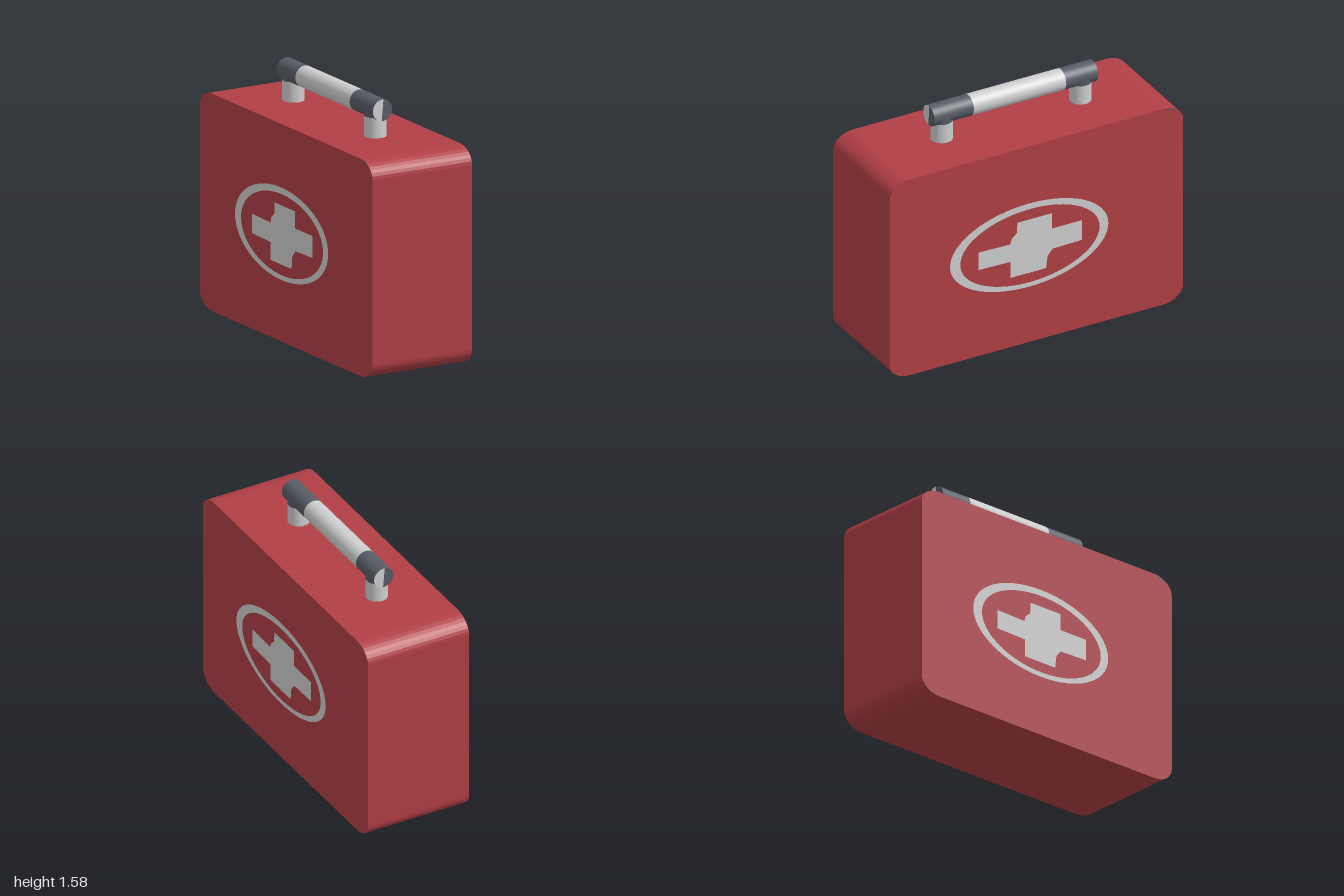
import * as THREE from 'three';

const flat = (name, color) => {
  const m = new THREE.MeshStandardMaterial({ color });
  m.name = name;
  return m;
};

export function createModel() {
  const red = flat('red', 0xb03f45);
  const light = flat('light grey', 0xcecece);
  const dark = flat('dark grey', 0x585c65);
  const model = new THREE.Group();
  model.name = 'firstAidCase';

  const add = (parent, name, geometry, material) => {
    const mesh = new THREE.Mesh(geometry, material);
    mesh.name = name;
    parent.add(mesh);
    return mesh;
  };
  const polygon = (pts) => new THREE.Shape(pts.map(([x, y]) => new THREE.Vector2(x, y)));

  // Case: a side outline with rounded corners, extruded across the width
  const half = 0.345, height = 1.34, rz = 0.14, ry = 0.1;
  const outline = new THREE.Shape();
  outline.absellipse(1 - rz, ry, rz, ry, -Math.PI / 2, 0);
  outline.absellipse(1 - rz, height - ry, rz, ry, 0, Math.PI / 2);
  outline.absellipse(rz - 1, height - ry, rz, ry, Math.PI / 2, Math.PI);
  outline.absellipse(rz - 1, ry, rz, ry, Math.PI, Math.PI * 1.5);
  const body = new THREE.ExtrudeGeometry(outline, { depth: half * 2, bevelEnabled: false, curveSegments: 4 });
  body.translate(0, 0, -half).rotateY(Math.PI / 2);
  add(model, 'caseBody', body, red);

  // Emblem: an oval ring around an uneven cross, the same on both broad sides
  const ring = new THREE.Shape();
  ring.absellipse(-0.05, 0.665, 0.54, 0.285, 0, Math.PI * 2);
  const hole = new THREE.Path();
  hole.absellipse(-0.045, 0.66, 0.475, 0.25, 0, Math.PI * 2);
  ring.holes.push(hole);
  const cross = polygon([
    [-0.396, 0.71], [-0.396, 0.59], [-0.177, 0.585], [-0.177, 0.475], [0.065, 0.475],
    [0.075, 0.555], [0.11, 0.595], [0.31, 0.6], [0.31, 0.735], [0.107, 0.735],
    [0.107, 0.84], [-0.13, 0.84], [-0.135, 0.77], [-0.17, 0.74], [-0.18, 0.705],
  ]);
  // Dark scuff at one upper corner
  const scuff = polygon([[0.86, 1.338], [0.93, 1.315], [0.975, 1.295], [0.915, 1.331]]);
  for (const [side, turn] of [['left', 0], ['right', Math.PI]]) {
    const face = new THREE.Group();
    face.name = side + 'Emblem';
    face.rotation.y = turn;
    for (const [name, shape, mat] of [['ring', ring, light], ['cross', cross, light], ['cornerScuff', scuff, dark]]) {
      const plate = new THREE.ShapeGeometry(shape, 32);
      plate.rotateY(Math.PI / 2).translate(half + 0.002, 0, 0);
      add(face, name, plate, mat);
    }
    model.add(face);
  }

  // Handle: a bar with dark ends on two posts
  const handle = new THREE.Group();
  handle.name = 'handle';
  handle.position.z = -0.02;
  model.add(handle);
  const r = 0.067, barY = 1.515, end = 0.558;
  const bar = (name, z0, z1, mat) => {
    const g = new THREE.CylinderGeometry(r, r, z1 - z0, 32);
    g.rotateX(Math.PI / 2).translate(0, barY, (z0 + z1) / 2);
    add(handle, name, g, mat);
  };
  bar('backGripEnd', -end, -0.34, dark);
  bar('grip', -0.34, 0.29, light);
  bar('frontGripEnd', 0.29, end, dark);

  for (const [side, s] of [['front', 1], ['back', -1]]) {
    // Post with a dark collar where it meets the bar
    for (const [name, y0, y1, mat] of [['Post', 1.33, 1.465, light], ['Collar', 1.465, barY, dark]]) {
      const g = new THREE.CylinderGeometry(r, r, y1 - y0, 32);
      g.translate(0, (y0 + y1) / 2, s * 0.473);
      add(handle, side + name, g, mat);
    }
    // Light half disc on the end of the bar
    const cap = new THREE.CircleGeometry(r, 24, Math.PI / 2 - 0.09, Math.PI);
    cap.translate(0, 0, end + 0.002).rotateY(s > 0 ? 0 : Math.PI).translate(0, barY, 0);
    add(handle, side + 'EndCap', cap, light);
  }
  return model;
}
